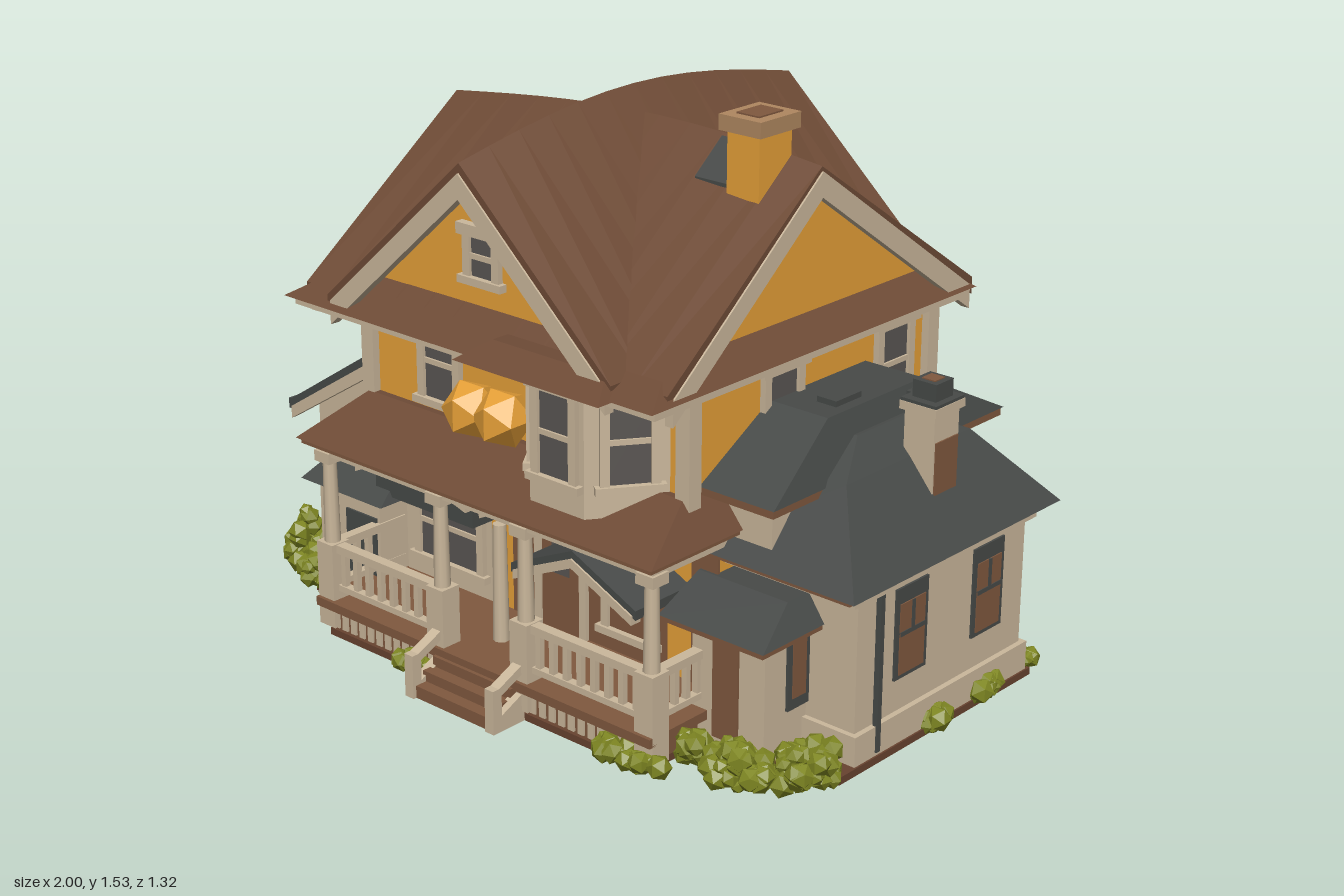
import * as THREE from 'three';

const mat = (name, color) => {
  const m = new THREE.MeshStandardMaterial({ color });
  m.name = name;
  return m;
};

export function createModel() {
  const root = new THREE.Group();
  root.name = 'house';
  const brown = mat('roofBrown', 0x6e4b36), yellow = mat('wallYellow', 0xe6a038), cream = mat('trimCream', 0xcbb89c);
  const slate = mat('slateGray', 0x474a48), glass = mat('glassDark', 0x5a5653), wood = mat('wood', 0x80593f);
  const dark = mat('baseDark', 0x684330), green = mat('leafGreen', 0x7e8622), tan = mat('chimneyTan', 0xb08860);

  const add = (name, geo, m, parent = root) => {
    const mesh = new THREE.Mesh(geo, m);
    mesh.name = name;
    parent.add(mesh);
    return mesh;
  };
  const box = (name, m, x0, x1, y0, y1, z0, z1, parent) => add(name,
    new THREE.BoxGeometry(x1 - x0, y1 - y0, z1 - z0).translate((x0 + x1) / 2, (y0 + y1) / 2, (z0 + z1) / 2), m, parent);

  // Tapered block: rectangles are [x0, x1, z0, z1]
  const loft = (name, m, y0, low, y1, high) => {
    const g = new THREE.BoxGeometry(1, 1, 1).toNonIndexed(), p = g.attributes.position;
    for (let i = 0; i < p.count; i++) {
      const r = p.getY(i) > 0 ? high : low;
      p.setXYZ(i, p.getX(i) > 0 ? r[1] : r[0], p.getY(i) > 0 ? y1 : y0, p.getZ(i) > 0 ? r[3] : r[2]);
    }
    g.computeVertexNormals();
    return add(name, g, m);
  };

  // Profile run along z (points x,y) or along x (points z,y); rise(t) lifts the apex along the run
  const run = (name, m, pts, a, b, axis = 'z', rise, base = 0, top = 1) => {
    const s = new THREE.Shape(pts.map(([u, y]) => new THREE.Vector2(axis === 'x' ? -u : u, y)));
    const g = new THREE.ExtrudeGeometry(s, { depth: b - a, bevelEnabled: false, steps: rise ? 12 : 1 });
    if (rise) {
      const p = g.attributes.position;
      for (let i = 0; i < p.count; i++) {
        p.setY(i, p.getY(i) + rise(p.getZ(i) / (b - a)) * Math.max(0, (p.getY(i) - base) / (top - base)));
      }
      g.computeVertexNormals();
    }
    g.translate(0, 0, a);
    if (axis === 'x') g.rotateY(Math.PI / 2);
    return add(name, g, m);
  };
  const chevron = (l, c, r, e, p, t) => [[l, e], [c, p], [r, e], [r, e - t], [c, p - t], [l, e - t]];

  // Sash window facing local +z
  const win = (name, x, y, z, w, h, ry = 0, pane = glass) => {
    const g = new THREE.Group();
    g.name = name;
    g.position.set(x, y, z);
    g.rotation.y = ry;
    root.add(g);
    box('pane', pane, -w / 2, w / 2, -h / 2, h / 2, -0.004, 0.005, g);
    for (const s of [-1, 1]) box('jamb', cream, s * w / 2 - 0.012, s * w / 2 + 0.012, -h / 2, h / 2, -0.01, 0.014, g);
    box('head', cream, -w / 2 - 0.025, w / 2 + 0.025, h / 2, h / 2 + 0.03, -0.01, 0.022, g);
    box('sill', cream, -w / 2 - 0.025, w / 2 + 0.025, -h / 2 - 0.02, -h / 2, -0.01, 0.022, g);
    box('sash', cream, -w / 2, w / 2, -0.007, 0.007, -0.004, 0.011, g);
  };
  // Dark-framed wing window on the side s (+1 or -1)
  const wingWin = (s, z) => {
    const x = s * 0.932, y = 0.31;
    box('wingWindowFrame', slate, x - 0.004, x + 0.004, y - 0.122, y + 0.122, z - 0.064, z + 0.064);
    box('wingWindowPane', wood, x - 0.007, x + 0.007, y - 0.11, y + 0.08, z - 0.05, z + 0.05);
    box('wingWindowSash', slate, x - 0.009, x + 0.009, y - 0.006, y + 0.006, z - 0.05, z + 0.05);
    box('wingWindowMullion', slate, x - 0.009, x + 0.009, y - 0.006, y + 0.08, z - 0.006, z + 0.006);
  };

  // Ground plates and main body
  box('base', dark, -0.57, 0.57, 0, 0.02, -0.57, 0.55);
  box('wingBasePlate', dark, -0.95, 0.95, 0, 0.02, -0.52, 0.28);
  box('frontBasePlate', dark, -0.81, 0.79, 0, 0.02, 0.2, 0.39);
  box('plinth', cream, -0.565, 0.565, 0.02, 0.08, -0.575, 0.28);
  box('lowerFloor', yellow, -0.55, 0.55, 0.03, 0.62, -0.56, 0.27);
  box('upperFloor', yellow, -0.55, 0.55, 0.56, 0.97, -0.56, 0.38);
  for (const x of [-0.55, 0.55]) for (const z of [-0.56, 0.38]) {
    box('cornerBoard', cream, x - 0.022, x + 0.022, z > 0 ? 0.6 : 0.04, 0.95, z - 0.022, z + 0.022);
  }
  box('soffit', cream, -0.62, 0.62, 0.935, 0.96, -0.64, 0.58);
  loft('eaveSkirt', brown, 0.958, [-0.64, 0.63, -0.66, 0.6], 1.03, [-0.54, 0.54, -0.55, 0.44]);
  loft('bayEave', brown, 0.955, [0.02, 0.5, 0.4, 0.64], 1.0, [0.08, 0.45, 0.4, 0.56]);

  // Cross-gabled roof with bowed ridges
  const bow = t => 0.08 * Math.sin(Math.PI * t), lean = t => 0.06 * Math.sin(Math.PI * Math.min(1, t * 0.85));
  run('frontBackRoof', brown, chevron(-0.5, -0.01, 0.48, 0.985, 1.425, 0.045), -0.66, 0.575, 'z', bow, 0.97, 1.425);
  run('sideRoof', brown, chevron(-0.66, -0.02, 0.53, 0.98, 1.385, 0.045), -0.63, 0.615, 'x', lean, 0.97, 1.385);
  run('frontBackGable', yellow, [[-0.47, 0.97], [-0.01, 1.385], [0.45, 0.97]], -0.57, 0.47);
  run('sideGable', yellow, [[-0.62, 0.97], [-0.02, 1.36], [0.5, 0.97]], -0.55, 0.55, 'x');
  for (const z of [-0.663, 0.55]) run('gableTrim', cream, chevron(-0.485, -0.01, 0.465, 0.975, 1.4, 0.065), z, z + 0.03);
  for (const [x, p] of [[-0.633, 1.37], [0.595, 1.4]]) {
    run('gableTrim', cream, chevron(-0.645, -0.02, 0.515, 0.965, p, 0.065), x, x + 0.025, 'x');
  }
  win('frontAtticWindow', -0.035, 1.16, 0.472, 0.1, 0.105);
  win('backAtticWindow', -0.01, 1.16, -0.572, 0.1, 0.105, Math.PI);

  // Large chimney with roof flashing
  box('chimney', yellow, 0.42, 0.52, 1.2, 1.5, -0.02, 0.1);
  box('chimneyCap', tan, 0.405, 0.535, 1.49, 1.53, -0.035, 0.115);
  box('chimneyFlue', wood, 0.435, 0.505, 1.525, 1.534, -0.005, 0.085);
  run('chimneyFlashing', slate, [[-0.01, 1.434], [0.09, 1.352], [0.09, 1.33], [-0.01, 1.41]], 0.31, 0.42, 'x');

  // Corner bay
  const bay = [[0.06, 0.37], [0.19, 0.55], [0.37, 0.55], [0.5, 0.37]];
  const bayGeo = new THREE.ExtrudeGeometry(new THREE.Shape(bay.map(([x, z]) => new THREE.Vector2(x, -z))),
    { depth: 0.34, bevelEnabled: false }).rotateX(-Math.PI / 2).translate(0, 0.61, 0);
  add('bayWalls', bayGeo, cream);
  for (let i = 0; i < 3; i++) {
    const [x0, z0] = bay[i], [x1, z1] = bay[i + 1];
    win('bayWindow', (x0 + x1) / 2, 0.805, (z0 + z1) / 2, 0.125, 0.22, Math.atan2(z0 - z1, x1 - x0));
  }

  // Upper and back windows
  win('upperFrontWindow', -0.29, 0.8, 0.383, 0.13, 0.2);
  for (const s of [-1, 1]) {
    for (const z of [0.04, -0.41]) win('upperSideWindow', s * 0.553, 0.8, z, 0.13, 0.2, s * Math.PI / 2);
    for (const y of [0.34, 0.8]) win('backWindow', s * 0.28, y, -0.563, 0.16, 0.18, Math.PI);
  }
  loft('backBand', brown, 0.57, [-0.6, 0.6, -0.65, -0.5], 0.64, [-0.55, 0.55, -0.56, -0.5]);
  box('backBandTrim', cream, -0.58, 0.58, 0.545, 0.572, -0.61, -0.5);
  run('backWindowHood', slate, chevron(0.04, 0.29, 0.52, 0.74, 0.86, 0.015), -0.63, -0.56);
  run('backHoodTrim', wood, chevron(0.045, 0.29, 0.515, 0.727, 0.847, 0.02), -0.625, -0.56);

  // Faceted ornaments and hooks on the front wall
  for (const [x, y] of [[-0.11, 0.74], [0.0, 0.745]]) {
    add('facetedOrnament', new THREE.IcosahedronGeometry(0.08, 0).translate(x, y, 0.45), yellow);
    add('ornamentHook', new THREE.TorusGeometry(0.025, 0.007, 5, 10, Math.PI).rotateZ(Math.PI).translate(x, 0.88, 0.39), yellow);
  }

  // Porch with a latticed skirt
  box('porchFloor', wood, -0.6, 0.6, 0.085, 0.11, 0.2, 0.57);
  box('porchSkirt', wood, -0.57, 0.57, 0.02, 0.085, 0.25, 0.54);
  for (let i = 0; i < 34; i++) {
    const x = -0.55 + i * 0.0333;
    if (Math.abs(x) > 0.17) box('skirtSlat', cream, x - 0.01, x + 0.01, 0.025, 0.08, 0.538, 0.546);
  }
  loft('porchRoof', brown, 0.57, [-0.62, 0.63, 0.2, 0.6], 0.665, [-0.55, 0.55, 0.2, 0.4]);
  box('porchRoofEdge', wood, -0.61, 0.62, 0.555, 0.572, 0.2, 0.59);
  box('porchBeam', cream, -0.59, 0.59, 0.52, 0.557, 0.51, 0.55);
  for (const s of [-1, 1]) box('porchSideBeam', cream, s * 0.57 - 0.02, s * 0.57 + 0.02, 0.52, 0.557, 0.25, 0.55);
  for (const x of [-0.57, -0.15, 0.15, 0.57]) {
    box('postBase', cream, x - 0.03, x + 0.03, 0.03, 0.27, 0.5, 0.56);
    add('post', new THREE.CylinderGeometry(0.018, 0.022, 0.26, 10).translate(x, 0.4, 0.53), cream);
    box('postCap', cream, x - 0.028, x + 0.028, 0.5, 0.53, 0.502, 0.558);
  }
  const railing = (x, z, len, ry) => {
    const g = new THREE.Group();
    g.name = 'railing';
    g.position.set(x, 0, z);
    g.rotation.y = ry;
    root.add(g);
    box('topRail', cream, 0, len, 0.245, 0.268, -0.015, 0.015, g);
    box('bottomRail', cream, 0, len, 0.135, 0.152, -0.012, 0.012, g);
    const n = Math.round(len / 0.045);
    for (let i = 1; i < n; i++) box('baluster', cream, i * len / n - 0.008, i * len / n + 0.008, 0.15, 0.25, -0.008, 0.008, g);
  };
  railing(-0.57, 0.53, 0.42, 0);
  railing(0.15, 0.53, 0.42, 0);
  for (const x of [-0.57, 0.57]) railing(x, 0.53, 0.25, Math.PI / 2);

  // Entrance wall, doors and windows
  box('entryWallLeft', cream, -0.555, -0.23, 0.11, 0.56, 0.265, 0.274);
  box('entryWallCentre', wood, -0.15, 0.39, 0.11, 0.56, 0.265, 0.273);
  box('entryWallRight', wood, 0.47, 0.555, 0.11, 0.56, 0.265, 0.273);
  for (const x of [-0.05, 0.11]) box('doorJamb', cream, x - 0.012, x + 0.012, 0.11, 0.44, 0.265, 0.285);
  box('frontDoor', wood, -0.038, 0.098, 0.11, 0.42, 0.27, 0.279);
  box('frontDoorPane', glass, 0.0, 0.06, 0.27, 0.39, 0.275, 0.282);
  win('porchWindow', -0.38, 0.28, 0.276, 0.24, 0.2);
  win('porchWindow', 0.27, 0.3, 0.275, 0.16, 0.24, 0, wood);
  box('awning', slate, -0.57, -0.2, 0.36, 0.42, 0.27, 0.37);

  // Small gables under the porch roof
  run('entryHood', slate, chevron(0.07, 0.28, 0.49, 0.39, 0.485, 0.025), 0.3, 0.5);
  run('entryHoodTrim', cream, chevron(0.08, 0.28, 0.48, 0.375, 0.465, 0.025), 0.47, 0.505);
  run('innerHood', slate, chevron(-0.13, 0.06, 0.3, 0.47, 0.56, 0.025), 0.28, 0.42);
  run('innerHoodTrim', cream, chevron(-0.12, 0.06, 0.29, 0.45, 0.537, 0.02), 0.4, 0.425);
  run('leftHood', slate, chevron(-0.6, -0.43, -0.16, 0.47, 0.55, 0.025), 0.28, 0.42);
  run('leftHoodTrim', cream, chevron(-0.59, -0.43, -0.17, 0.45, 0.527, 0.02), 0.4, 0.425);
  add('hoodPost', new THREE.CylinderGeometry(0.018, 0.022, 0.33, 10).translate(-0.05, 0.27, 0.42), cream);

  // Front steps
  for (let i = 0; i < 3; i++) box('step', wood, -0.14, 0.14, 0, 0.09 - i * 0.028, 0.54, 0.58 + i * 0.035);
  for (const x of [-0.16, 0.13]) {
    run('stepRail', cream, [[0.55, 0.16], [0.65, 0.115], [0.65, 0.09], [0.55, 0.135]], x, x + 0.03, 'x');
    run('stepString', cream, [[0.55, 0], [0.55, 0.08], [0.66, 0.03], [0.66, 0]], x, x + 0.03, 'x');
    box('stepPost', cream, x, x + 0.03, 0, 0.12, 0.63, 0.66);
  }

  // Garage wing with a single-pitch roof on the -x side
  run('garageWalls', cream, [[-0.93, 0.02], [-0.54, 0.02], [-0.54, 0.74], [-0.93, 0.5]], -0.5, 0.25);
  run('garageRoof', slate, [[-0.99, 0.5], [-0.54, 0.79], [-0.54, 0.75], [-0.99, 0.465]], -0.55, 0.3);
  for (const z of [-0.54, 0.285]) run('garageRoofTrim', cream, [[-0.985, 0.48], [-0.56, 0.75], [-0.56, 0.71], [-0.985, 0.445]], z, z + 0.02);
  box('garageGutter', slate, -1, -0.975, 0.47, 0.5, -0.55, 0.3);
  box('garageBase', cream, -0.945, -0.55, 0.02, 0.09, -0.515, 0.265);
  box('garageFront', cream, -0.8, -0.56, 0.02, 0.36, 0.25, 0.37);
  loft('garageHood', slate, 0.345, [-0.82, -0.5, 0.2, 0.42], 0.42, [-0.78, -0.54, 0.2, 0.3]);
  box('garageDoor', slate, -0.69, -0.57, 0.03, 0.28, 0.368, 0.376);
  box('garageBackDoor', slate, -0.88, -0.6, 0.04, 0.35, -0.522, -0.5);
  box('garageBackHood', slate, -0.93, -0.56, 0.38, 0.42, -0.55, -0.5);
  for (const z of [-0.25, 0.06]) wingWin(-1, z);

  // Hip-roofed wing on the +x side
  box('wingWalls', cream, 0.5, 0.93, 0.02, 0.5, -0.49, 0.2);
  box('wingBase', cream, 0.5, 0.945, 0.02, 0.1, -0.505, 0.215);
  box('wingFrieze', cream, 0.5, 0.95, 0.45, 0.49, -0.51, 0.24);
  box('wingEaveEdge', wood, 0.5, 0.98, 0.487, 0.503, -0.53, 0.3);
  loft('wingRoof', slate, 0.5, [0.5, 1, -0.54, 0.31], 0.7, [0.5, 0.83, -0.37, 0.13]);
  loft('wingRoofTop', slate, 0.7, [0.5, 0.83, -0.37, 0.13], 0.77, [0.5, 0.76, -0.22, 0.0]);
  box('upperWingWall', cream, 0.5, 0.72, 0.5, 0.68, -0.53, 0.27);
  box('upperWingEdge', wood, 0.5, 0.775, 0.66, 0.684, -0.585, 0.335);
  loft('upperWingRoof', slate, 0.682, [0.5, 0.78, -0.59, 0.34], 0.83, [0.5, 0.73, -0.3, 0.08]);
  box('roofVent', slate, 0.64, 0.7, 0.82, 0.845, -0.09, 0.01);
  box('ventBand', wood, 0.645, 0.703, 0.815, 0.83, -0.085, 0.005);
  box('roofVent', slate, 0.74, 0.8, 0.7, 0.82, -0.3, -0.22);
  for (const z of [-0.01, -0.33]) wingWin(1, z);
  box('wingBackPanel', slate, 0.56, 0.89, 0.04, 0.47, -0.53, -0.48);
  for (const x of [0.64, 0.8]) box('wingBackWindow', glass, x - 0.05, x + 0.05, 0.2, 0.4, -0.535, -0.528);
  box('wingPorch', cream, 0.55, 0.78, 0.02, 0.38, 0.2, 0.36);
  box('wingPorchPanel', slate, 0.775, 0.788, 0.14, 0.4, 0.2, 0.28);
  box('wingPorchPane', wood, 0.782, 0.791, 0.17, 0.37, 0.215, 0.265);
  box('wingPorchDoor', wood, 0.62, 0.7, 0.05, 0.34, 0.358, 0.366);
  loft('wingPorchRoof', slate, 0.36, [0.5, 0.83, 0.18, 0.43], 0.43, [0.5, 0.78, 0.18, 0.28]);
  box('wingPorchRoofEdge', wood, 0.5, 0.825, 0.345, 0.362, 0.18, 0.425);
  box('downpipe', slate, 0.935, 0.95, 0.03, 0.5, 0.12, 0.135);

  // Small chimney
  box('wingChimney', cream, 0.81, 0.9, 0.55, 0.83, -0.22, -0.12);
  box('wingChimneyBrick', wood, 0.897, 0.904, 0.56, 0.75, -0.215, -0.125);
  box('wingChimneyCap', cream, 0.8, 0.91, 0.82, 0.842, -0.23, -0.11);
  box('wingCapTop', slate, 0.802, 0.908, 0.842, 0.85, -0.228, -0.112);
  box('wingFlue', slate, 0.82, 0.89, 0.845, 0.895, -0.205, -0.135);
  box('wingFlueOpening', wood, 0.835, 0.875, 0.893, 0.898, -0.19, -0.15);

  // Shrubs: [x, z, spread x, spread z, height, count]
  let seed = 7;
  const rnd = () => (seed = (seed * 16807) % 2147483647) / 2147483647;
  const shrubs = [[-0.92, 0.32, 0.05, 0.05, 0.21, 34], [-0.77, 0.4, 0.07, 0.03, 0.15, 24], [0.74, 0.45, 0.13, 0.05, 0.14, 50],
    [0.9, 0.34, 0.06, 0.08, 0.15, 40], [0.52, 0.56, 0.11, 0.03, 0.09, 26], [-0.22, 0.57, 0.06, 0.02, 0.08, 12],
    [0.95, -0.1, 0.015, 0.04, 0.08, 12], [0.95, -0.32, 0.015, 0.05, 0.08, 14], [0.93, -0.53, 0.03, 0.02, 0.07, 8],
    [-0.95, 0.02, 0.015, 0.05, 0.08, 12], [-0.95, -0.25, 0.015, 0.04, 0.07, 10], [-0.78, -0.55, 0.05, 0.02, 0.08, 10],
    [-0.1, -0.58, 0.05, 0.01, 0.05, 8], [0.42, -0.58, 0.08, 0.01, 0.06, 10]];
  for (const [x, z, sx, sz, h, n] of shrubs) {
    const g = new THREE.Group();
    g.name = 'shrub';
    root.add(g);
    for (let i = 0; i < n; i++) {
      const r = 0.02 + rnd() * 0.016, a = rnd() * 6.28, d = Math.sqrt(rnd()), y = r + rnd() * Math.max(0, h - 2 * r) * (1.1 - d * 0.5);
      add('leaves', new THREE.IcosahedronGeometry(r, 0).rotateY(a).translate(x + Math.cos(a) * d * sx, y, z + Math.sin(a) * d * sz), green, g);
    }
  }
  return root;
}
